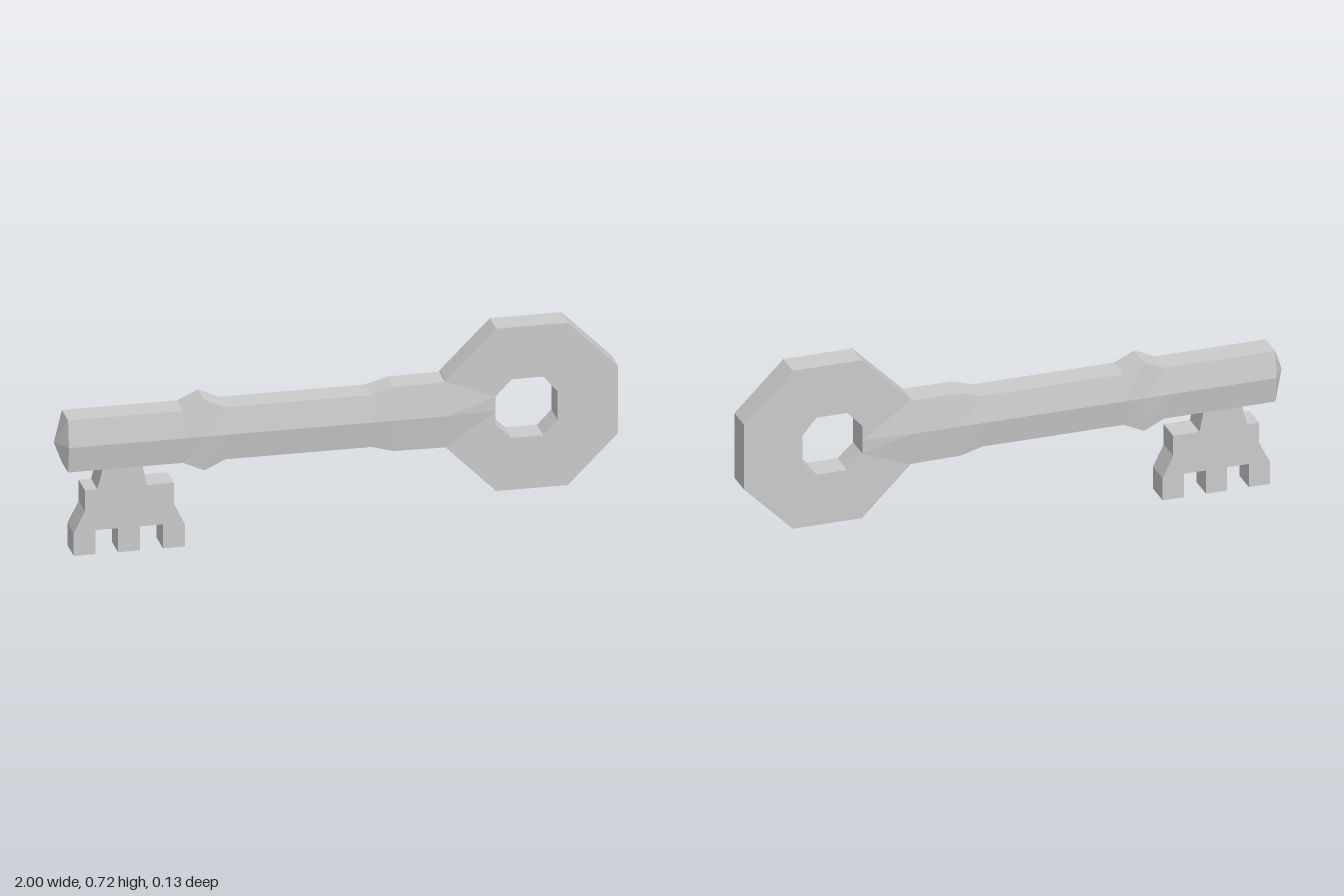
import * as THREE from 'three';

const material = new THREE.MeshStandardMaterial({ color: 0xcccccc, flatShading: true });
const HALF = 0.05; // half thickness of the flat parts
const MID = 0.412; // height of the shaft axis

// Extrude an outline (with optional hole) centred on z = 0
function plate(name, outline, hole) {
  const toPoints = (list) => list.map(([x, y]) => new THREE.Vector2(x, y));
  const shape = new THREE.Shape(toPoints(outline));
  if (hole) shape.holes.push(new THREE.Path(toPoints(hole)));
  const geometry = new THREE.ExtrudeGeometry(shape, { depth: 2 * HALF, bevelEnabled: false });
  geometry.translate(0, 0, -HALF);
  const mesh = new THREE.Mesh(geometry, material);
  mesh.name = name;
  return mesh;
}

// Six-sided shaft lofted along x; stations are [x, top, bottom, flat z, ridge z]
function buildShaft() {
  const stations = [
    [-1, MID, MID, 0, 0], // pointed tip
    [-0.96, 0.51, 0.315, HALF, 0.064],
    [-0.55, 0.51, 0.315, HALF, 0.064],
    [-0.475, 0.545, 0.28, HALF, 0.064], // collar
    [-0.4, 0.51, 0.315, HALF, 0.064],
    [0.12, 0.51, 0.315, HALF, 0.064],
    [0.2, 0.533, 0.293, HALF, 0.064],
    [0.385, 0.535, 0.29, HALF, 0.064],
    [0.563, 0.465, 0.358, HALF, HALF], // ridge fades into the bow
  ];
  const positions = [];
  const index = [];
  stations.forEach(([x, top, bottom, flat, ridge], i) => {
    positions.push(x, top, flat, x, MID, ridge, x, bottom, flat);
    positions.push(x, bottom, -flat, x, MID, -ridge, x, top, -flat);
    if (i === stations.length - 1) return;
    for (let j = 0; j < 6; j++) {
      const a = i * 6 + j;
      const b = i * 6 + ((j + 1) % 6);
      if (i > 0) index.push(a, b, a + 6);
      index.push(b, b + 6, a + 6);
    }
  });
  const geometry = new THREE.BufferGeometry();
  geometry.setAttribute('position', new THREE.Float32BufferAttribute(positions, 3));
  geometry.setIndex(index);
  geometry.computeVertexNormals();
  const mesh = new THREE.Mesh(geometry, material);
  mesh.name = 'shaft';
  return mesh;
}

export function createModel() {
  const key = new THREE.Group();
  key.name = 'key';
  key.add(buildShaft());

  // Octagonal bow with an octagonal hole
  key.add(plate('bow',
    [[0.385, 0.29], [0.565, 0.11], [0.82, 0.11], [1, 0.29], [1, 0.54], [0.82, 0.72], [0.565, 0.72], [0.385, 0.54]],
    [[0.563, 0.358], [0.563, 0.465], [0.62, 0.525], [0.733, 0.525], [0.784, 0.465], [0.784, 0.358], [0.733, 0.305], [0.62, 0.305]]));

  // Bit: neck, shoulders and three teeth
  const teeth = [];
  for (const x of [-0.94, -0.782, -0.622]) {
    teeth.push([x, x === -0.94 ? 0.085 : 0.09], [x, 0], [x + 0.078, 0], [x + 0.078, x === -0.622 ? 0.085 : 0.09]);
  }
  key.add(plate('bit', [
    [-0.833, 0.33], [-0.856, 0.243], [-0.9, 0.243], [-0.9, 0.165],
    ...teeth,
    [-0.583, 0.165], [-0.583, 0.243], [-0.68, 0.243], [-0.697, 0.33],
  ]));
  return key;
}
